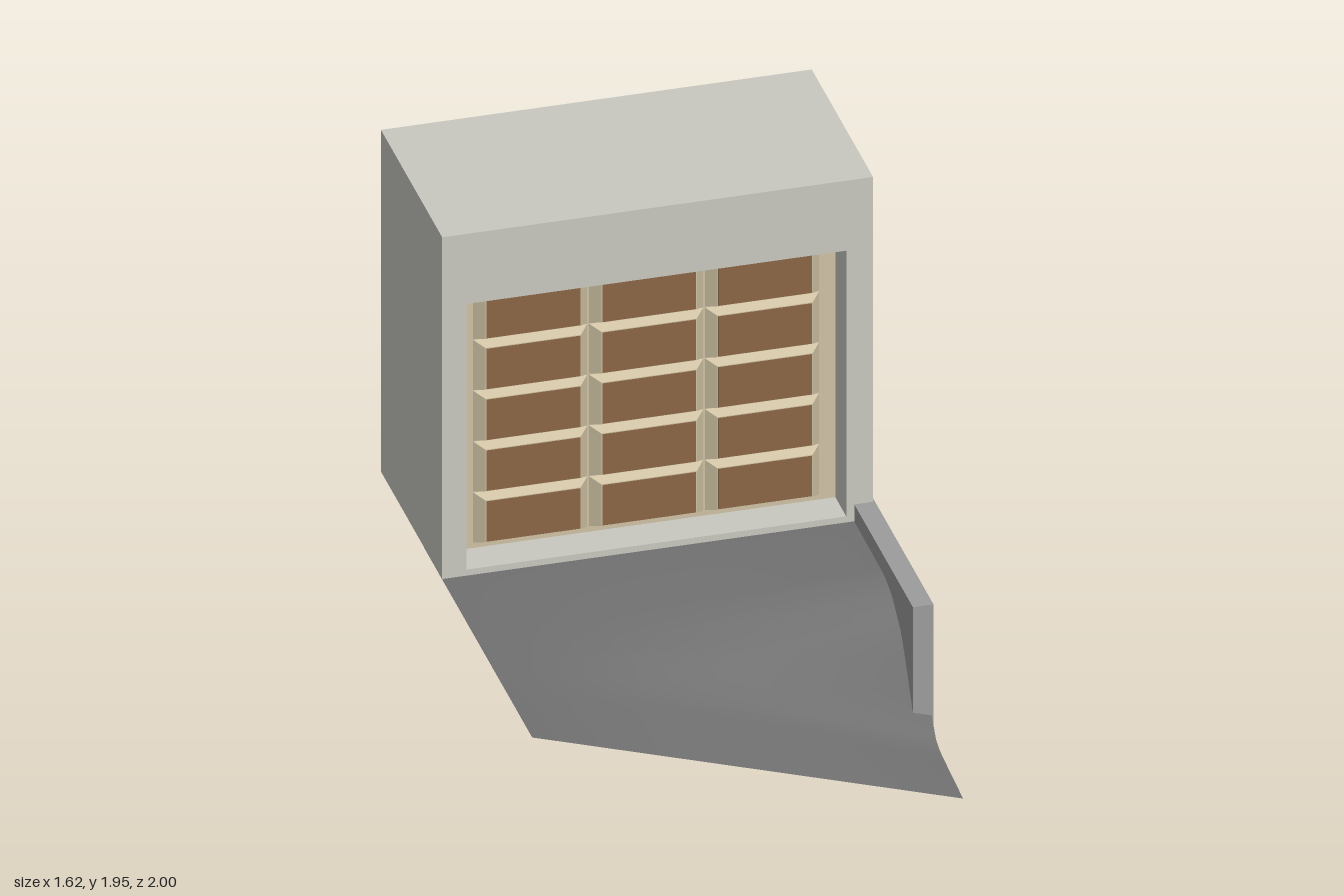
import * as THREE from 'three';

const mat = (name, color, side = THREE.FrontSide) => {
  const m = new THREE.MeshStandardMaterial({ color, side });
  m.name = name;
  return m;
};

export function createModel() {
  const group = new THREE.Group();
  const wall = mat('wall plaster', 0xc8c8c0);
  const cream = mat('door cream', 0xcfc2a4);
  const brown = mat('panel brown', 0x8a6645);
  const concrete = mat('side wall grey', 0x9c9c9c);
  const asphalt = mat('driveway grey', 0x707070, THREE.DoubleSide);

  const add = (name, geometry, material, x = 0, y = 0, z = 0) => {
    const mesh = new THREE.Mesh(geometry, material);
    mesh.name = name;
    mesh.position.set(x, y, z);
    group.add(mesh);
    return mesh;
  };
  // Box given by its two corners
  const box = (name, m, x0, x1, y0, y1, z0, z1) =>
    add(name, new THREE.BoxGeometry(x1 - x0, y1 - y0, z1 - z0), m,
      (x0 + x1) / 2, (y0 + y1) / 2, (z0 + z1) / 2);
  const rect = (Type, x0, x1, y0, y1) => new Type([
    new THREE.Vector2(x0, y0), new THREE.Vector2(x1, y0),
    new THREE.Vector2(x1, y1), new THREE.Vector2(x0, y1)]);

  // Garage body, with a front wall that has the door opening
  const L = -0.81, R = 0.8, B = 0.535, T = 1.95, zDoor = -0.335, zFront = -0.19;
  box('garageBody', wall, L, R, B, T, -1, zDoor - 0.005);
  const front = rect(THREE.Shape, L, R, B, T);
  front.holes.push(rect(THREE.Path, -0.72, 0.7, 0.56, 1.66));
  add('frontWall', new THREE.ExtrudeGeometry(front, { depth: zFront - zDoor + 0.005, bevelEnabled: false }),
    wall, 0, 0, zDoor - 0.005);

  // Door leaf
  box('door', cream, -0.72, 0.7, 0.56, 1.66, zDoor - 0.004, zDoor);

  // Raised panels: boxes tapered towards the front, each with a brown face
  const raised = new THREE.BoxGeometry(0.426, 0.207, 0.04);
  const p = raised.attributes.position;
  for (let i = 0; i < p.count; i++) {
    if (p.getZ(i) > 0) p.setXY(i, Math.sign(p.getX(i)) * 0.178, Math.sign(p.getY(i)) * 0.086);
  }
  const taper = raised.toNonIndexed();
  taper.computeVertexNormals();
  const face = new THREE.BoxGeometry(0.35, 0.166, 0.004);
  for (let row = 0; row < 5; row++) {
    for (let col = 0; col < 3; col++) {
      const x = -0.44 + col * 0.433, y = 0.686 + row * 0.2105;
      add('doorPanel', taper, cream, x, y, zDoor + 0.02);
      add('panelFace', face, brown, x, y, zDoor + 0.041);
    }
  }

  // Low retaining wall along the left side
  box('retainingWall', concrete, 0.73, 0.807, 0, 0.605, -1, 0.585);

  // Driveway sheet: level at the garage, twisting down to the street,
  // with a steep fall beside the end of the retaining wall
  const steps = [[-0.43, 0], [0.2, 0], [0.3, 0.05], [0.43, 0.24], [0.5, 0.47],
    [0.58, 0.76], [0.65, 0.92], [0.72, 0.95], [1, 1]];
  const steep = (z) => {
    const i = Math.max(1, steps.findIndex((s) => s[0] >= z - 1e-6));
    const [a, b] = [steps[i - 1], steps[i]];
    return a[1] + (b[1] - a[1]) * (z - a[0]) / (b[0] - a[0]);
  };
  const drive = new THREE.PlaneGeometry(1, 1, 24, 44);
  const d = drive.attributes.position;
  for (let i = 0; i < d.count; i++) {
    const u = d.getX(i) + 0.5, z = -0.43 + (0.5 - d.getY(i)) * 1.43;
    const gentle = Math.max(0, (z + 0.19) / 1.19) ** 1.5;
    const s = gentle + (steep(Math.min(z, 1)) - gentle) * u;
    d.setXYZ(i, L + u * (R - L), 0.533 - 0.503 * u * s, z);
  }
  drive.computeVertexNormals();
  add('driveway', drive, asphalt);

  return group;
}
